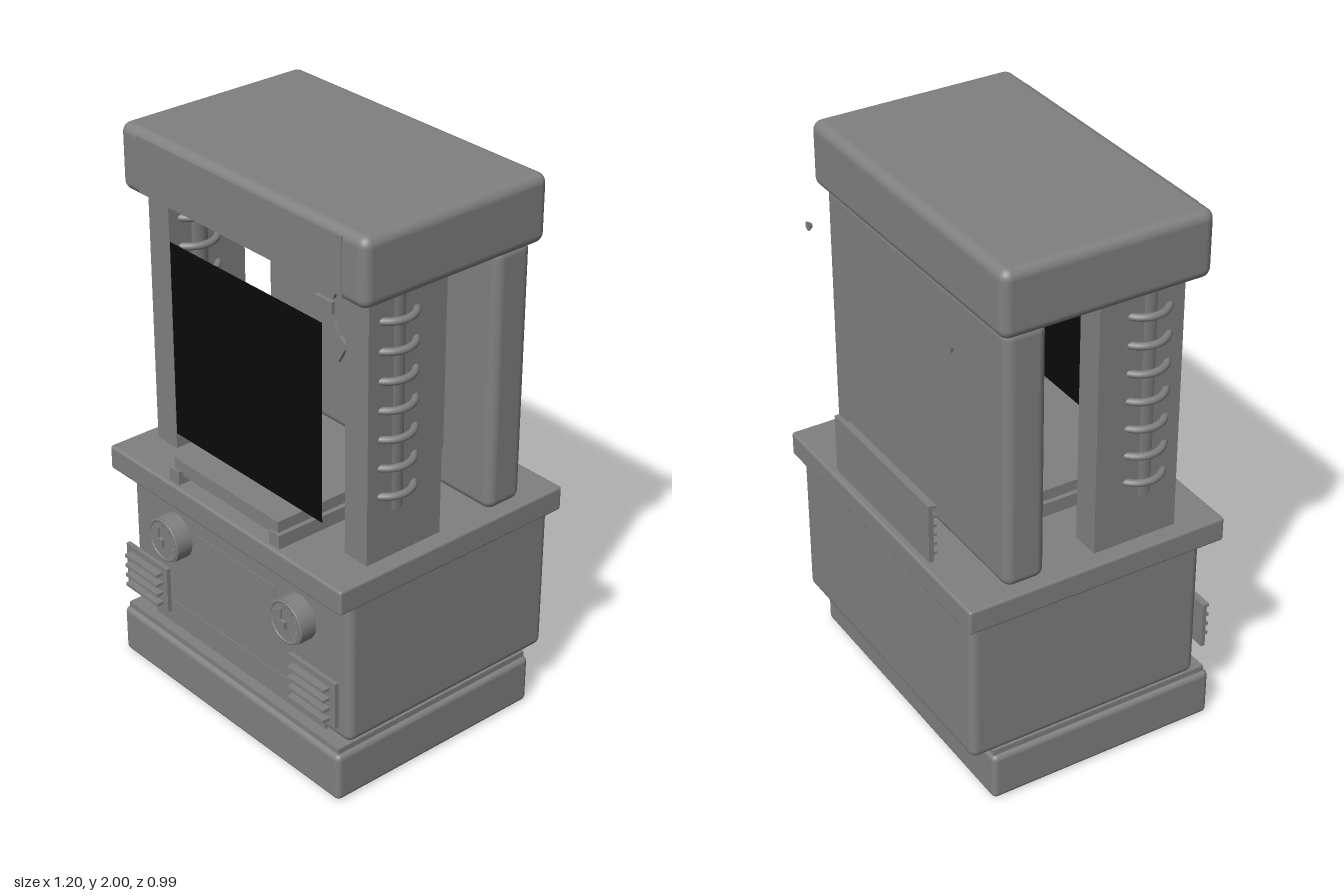
import * as THREE from 'three';
import { RoundedBoxGeometry } from 'three/addons/geometries/RoundedBoxGeometry.js';

export function createModel() {
  const model = new THREE.Group();
  model.name = 'fortuneCabinet';
  const grey = new THREE.MeshStandardMaterial({ color: 0x808080 });
  grey.name = 'cabinet grey';
  const black = new THREE.MeshStandardMaterial({ color: 0x0a0a0a, side: THREE.DoubleSide });
  black.name = 'glass black';

  const add = (name, geometry, x = 0, y = 0, z = 0, parent = model, material = grey) => {
    const mesh = new THREE.Mesh(geometry, material);
    mesh.name = name;
    mesh.position.set(x, y, z);
    parent.add(mesh);
    return mesh;
  };
  // Boxes given by their limits on each axis; r rounds the edges
  const block = (name, [x0, x1], [y0, y1], [z0, z1], r = 0, parent = model) => {
    const size = [x1 - x0, y1 - y0, z1 - z0];
    const geometry = r ? new RoundedBoxGeometry(...size, 4, r) : new THREE.BoxGeometry(...size);
    return add(name, geometry, (x0 + x1) / 2, (y0 + y1) / 2, (z0 + z1) / 2, parent);
  };
  const group = (name, x, y, z) => {
    const g = new THREE.Group();
    g.name = name;
    g.position.set(x, y, z);
    model.add(g);
    return g;
  };
  const disc = (r, depth, sides = 40) => new THREE.CylinderGeometry(r, r, depth, sides).rotateX(Math.PI / 2);

  // Main cabinet
  block('plinth', [-0.58, 0.58], [0, 0.18], [-0.4, 0.467], 0.02);
  block('neck', [-0.565, 0.565], [0.17, 0.2], [-0.39, 0.452]);
  block('body', [-0.568, 0.568], [0.196, 0.75], [-0.475, 0.41], 0.03);
  block('ledge', [-0.6, 0.6], [0.745, 0.835], [-0.498, 0.477], 0.01);
  block('backPanel', [-0.563, 0.563], [0.835, 1.775], [-0.343, -0.193], 0.035);
  block('roof', [-0.595, 0.595], [1.765, 2], [-0.372, 0.381], 0.035);
  block('roofSign', [-0.495, 0.495], [1.785, 1.98], [0.377, 0.384]);
  block('lowerPanel', [-0.455, 0.455], [0.196, 0.295], [0.405, 0.413]);
  block('frontLabel', [-0.205, 0.205], [0.53, 0.63], [0.405, 0.413]);

  // Window glass
  add('glass', new THREE.PlaneGeometry(0.75, 0.71), 0, 1.29, 0.357, model, black);

  // Tray on two runners
  block('trayTop', [-0.268, 0.268], [0.885, 0.925], [-0.08, 0.45]);
  block('trayUnderside', [-0.24, 0.24], [0.863, 0.886], [-0.07, 0.44]);

  for (const s of [-1, 1]) {
    const range = (a, b) => (s > 0 ? [a, b] : [-b, -a]);
    block('trayRunner', range(0.235, 0.285), [0.835, 0.885], [-0.105, 0.46]);

    // Column with an inner tube and coil rings
    block('column', range(0.435, 0.54), [0.83, 1.77], [0.003, 0.315]);
    add('columnTube', new THREE.CylinderGeometry(0.06, 0.06, 0.755, 32), s * 0.485, 1.378, 0.19);
    for (let i = 0; i < 7; i++) {
      add('coilRing', new THREE.TorusGeometry(0.088, 0.013, 10, 36).rotateX(Math.PI / 2),
        s * 0.485, 1.07 + i * 0.1017, 0.19);
    }

    // Dial with pointer and rim ticks
    const dial = group('frontDial', s * 0.323, 0.58, 0);
    add('dialBody', disc(0.083, 0.065), 0, 0, 0.4375, dial);
    add('dialRim', new THREE.TorusGeometry(0.074, 0.006, 8, 40), 0, 0, 0.468, dial);
    block('dialHub', [-0.016, 0.016], [-0.014, 0.014], [0.477, 0.489], 0, dial);
    block('dialPointer', [-0.018, -0.006], [-0.01, 0.055], [0.479, 0.485], 0, dial);
    for (let i = 0; i < 9; i++) {
      const a = (i / 8 - 0.5) * Math.PI * 1.5;
      const tick = add('dialTick', new THREE.BoxGeometry(0.004, 0.014, 0.006),
        Math.sin(a) * 0.06, Math.cos(a) * 0.06, 0.471, dial);
      tick.rotation.z = -a;
    }

    // Front speaker vent
    block('ventPlate', range(0.325, 0.555), [0.28, 0.455], [0.445, 0.46]);
    for (let i = 0; i < 4; i++) {
      const y = 0.307 + i * 0.0395;
      block('ventSlat', range(0.35, 0.53), [y - 0.006, y + 0.006], [0.458, 0.488]);
    }

    // Rear screw
    add('rearScrew', new THREE.CylinderGeometry(0.008, 0.016, 0.014, 16).rotateX(Math.PI / 2),
      s * 0.445, 1.705, -0.464);
  }

  // Rear vent, slats facing inward
  block('rearVentPlate', [-0.31, 0.31], [0.837, 1.055], [-0.474, -0.456]);
  for (let i = 0; i < 6; i++) {
    const y = 0.848 + i * 0.0355;
    block('rearVentSlat', [-0.285, 0.285], [y - 0.005, y + 0.005], [-0.457, -0.43]);
  }

  // Wheel on the inside of the back panel
  block('wheelBoard', [-0.357, 0.357], [1, 1.677], [-0.18, -0.165]);
  const wheel = group('wheel', 0, 1.35, 0);
  add('wheelDisc', disc(0.27, 0.034, 48), 0, 0, -0.149, wheel);
  add('wheelFace', disc(0.228, 0.014, 48), 0, 0, -0.126, wheel);
  add('wheelHub', disc(0.045, 0.018, 24), 0, 0, -0.115, wheel);
  for (let i = 0; i < 12; i++) {
    const a = (i / 12) * Math.PI * 2;
    const tile = add('wheelTile', new THREE.BoxGeometry(0.045, 0.09, 0.016),
      Math.sin(a) * 0.16, Math.cos(a) * 0.16, -0.113, wheel);
    tile.rotation.z = -a;
  }
  return model;
}
